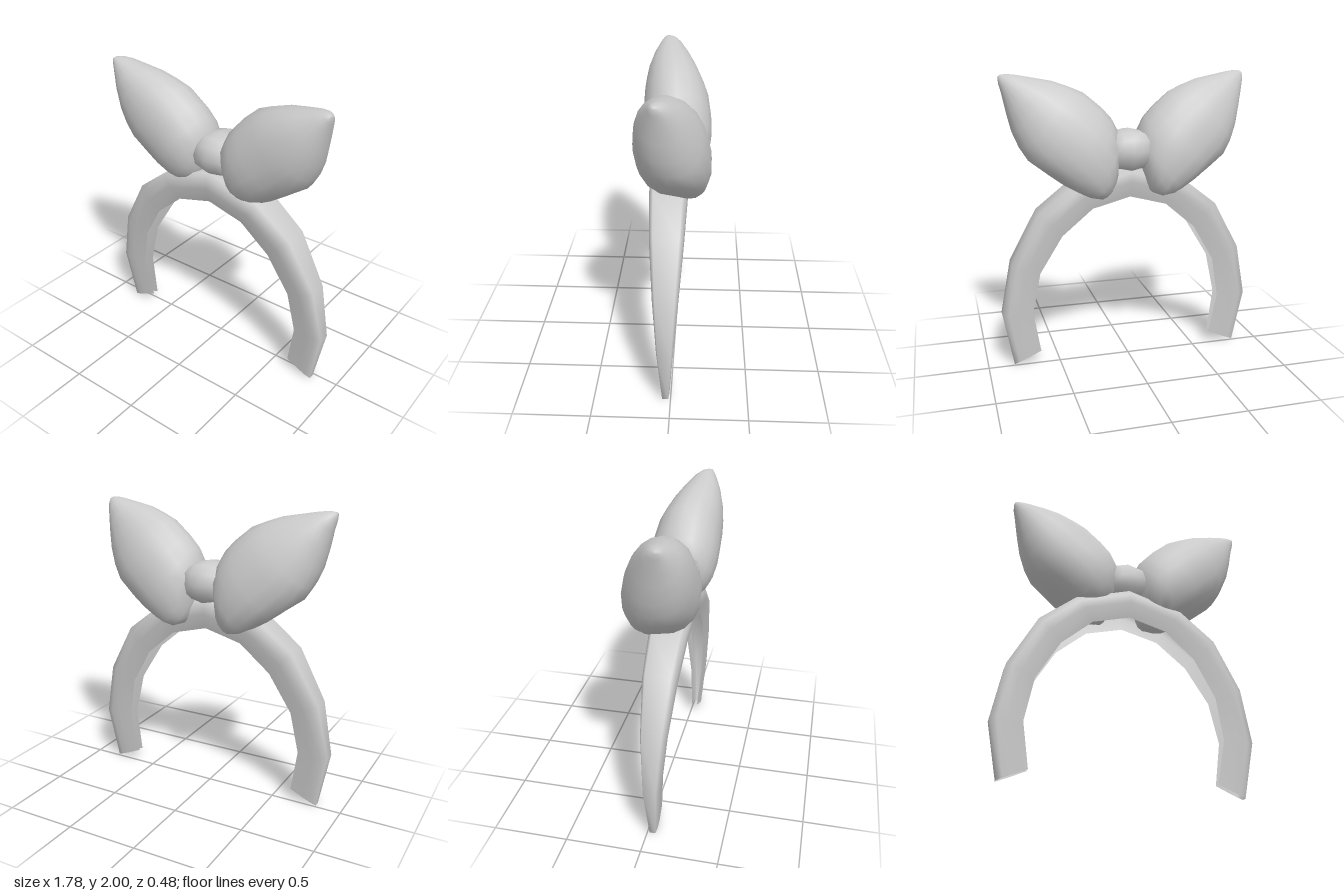
import * as THREE from 'three';

const material = new THREE.MeshStandardMaterial({ color: 0xcccccc });
const thinMaterial = new THREE.MeshStandardMaterial({ color: 0xcccccc, side: THREE.DoubleSide });

// Skin a list of rings (counter-clockwise about the travel direction).
// Closed rings are capped at both ends; open ones make a thin channel.
function loft(rings, closed) {
  const n = rings[0].length, last = rings.length - 1;
  const points = rings.flat(), index = [];
  for (let i = 0; i < last; i++) {
    for (let j = 0; j < (closed ? n : n - 1); j++) {
      const k = (j + 1) % n;
      const a = i * n + j, b = i * n + k, c = a + n, d = b + n;
      index.push(a, b, c, b, d, c);
    }
  }
  for (const end of closed ? [0, last] : []) {
    const centre = new THREE.Vector3();
    rings[end].forEach(p => centre.addScaledVector(p, 1 / n));
    const m = points.push(centre) - 1;
    for (let j = 0; j < n; j++) {
      const a = end * n + j, b = end * n + (j + 1) % n;
      if (end === 0) index.push(m, b, a); else index.push(m, a, b);
    }
  }
  const geometry = new THREE.BufferGeometry().setFromPoints(points);
  geometry.setIndex(index);
  geometry.computeVertexNormals();
  return geometry;
}

// Cosine or sine value pushed outwards for a slightly boxy ellipse
const boxy = (v, power) => Math.sign(v) * Math.abs(v) ** power;

function addMesh(group, name, geometry, meshMaterial = material) {
  const mesh = new THREE.Mesh(geometry, meshMaterial);
  mesh.name = name;
  group.add(mesh);
}

// Arched band: a hollow channel open towards the inside, tapering in depth to its ends
function bandGeometry() {
  // outer x, outer y, inner x, inner y, half depth
  const half = [
    [0, 1.39, 0, 1.18, 0.13], [0.38, 1.28, 0.26, 1.11, 0.125],
    [0.625, 1.09, 0.47, 0.93, 0.11], [0.815, 0.75, 0.625, 0.67, 0.083],
    [0.89, 0.38, 0.68, 0.38, 0.055], [0.82, 0, 0.63, 0.08, 0.027],
  ];
  const mirrored = half.slice(1).reverse().map(([ox, oy, ix, iy, h]) => [-ox, oy, -ix, iy, h]);
  // outward fraction, depth fraction
  const section = [[0, -0.76], [0.5, -1], [0.8, -0.97], [1, -0.75], [1, 0.75], [0.8, 0.97], [0.5, 1], [0, 0.76]];
  const rings = [...mirrored, ...half].map(([ox, oy, ix, iy, h]) => section.map(([t, w]) =>
    new THREE.Vector3(ix + (ox - ix) * t, iy + (oy - iy) * t, 0.035 + h * w)));
  return loft(rings, false);
}

// Puffy leaf-shaped bow loop, swept along its slanted axis
function loopGeometry(side) {
  // distance along axis, lower edge, upper edge, back z, front z
  const stations = [
    [-0.045, -0.15, -0.01, -0.09, 0.07], [-0.015, -0.215, 0.05, -0.165, 0.145],
    [0.04, -0.255, 0.12, -0.205, 0.19], [0.1, -0.278, 0.195, -0.228, 0.22],
    [0.2, -0.302, 0.235, -0.242, 0.238], [0.3, -0.315, 0.246, -0.238, 0.24],
    [0.45, -0.33, 0.243, -0.215, 0.238], [0.55, -0.3, 0.21, -0.18, 0.23],
    [0.65, -0.25, 0.17, -0.135, 0.215], [0.75, -0.178, 0.11, -0.08, 0.187],
    [0.85, -0.1, 0.05, -0.018, 0.145], [0.9, -0.065, 0.015, 0.025, 0.12],
    [0.925, -0.04, -0.014, 0.06, 0.105],
  ];
  const sides = 18;
  const rings = stations.map(([s, lo, hi, back, front]) => {
    const ring = [];
    for (let j = 0; j < sides; j++) {
      const a = j / sides * Math.PI * 2;
      const n = (lo + hi) / 2 + (hi - lo) / 2 * boxy(Math.cos(a), 0.94);
      const z = (back + front) / 2 + (front - back) / 2 * boxy(Math.sin(a), 0.94);
      // the rear of the base droops behind the band
      const droop = 0.1 * Math.max(0, -Math.sin(a)) * Math.max(0, 1 - Math.abs(s) / 0.8);
      ring.push(new THREE.Vector3(side * (0.12 + 0.753 * s - 0.658 * n), 1.4 + 0.658 * s + 0.753 * n - droop, z));
    }
    return side < 0 ? ring.reverse() : ring;
  });
  return loft(rings, true);
}

// Barrel-shaped knot lying across the middle
function knotGeometry() {
  const sides = 12;
  const profile = [[-0.15, 0.5], [-0.12, 0.83], [-0.06, 0.91], [0, 1], [0.06, 0.91], [0.12, 0.83], [0.15, 0.5]];
  const rings = profile.map(([x, r]) => Array.from({ length: sides }, (_, j) => {
    const a = j / sides * Math.PI * 2;
    return new THREE.Vector3(x, 1.495 + 0.145 * r * boxy(Math.cos(a), 0.8), -0.003 + 0.183 * r * boxy(Math.sin(a), 0.8));
  }));
  return loft(rings, true);
}

export function createModel() {
  const group = new THREE.Group();
  group.name = 'bowHeadband';
  addMesh(group, 'band', bandGeometry(), thinMaterial);
  addMesh(group, 'leftLoop', loopGeometry(1));
  addMesh(group, 'rightLoop', loopGeometry(-1));
  addMesh(group, 'knot', knotGeometry());
  return group;
}
